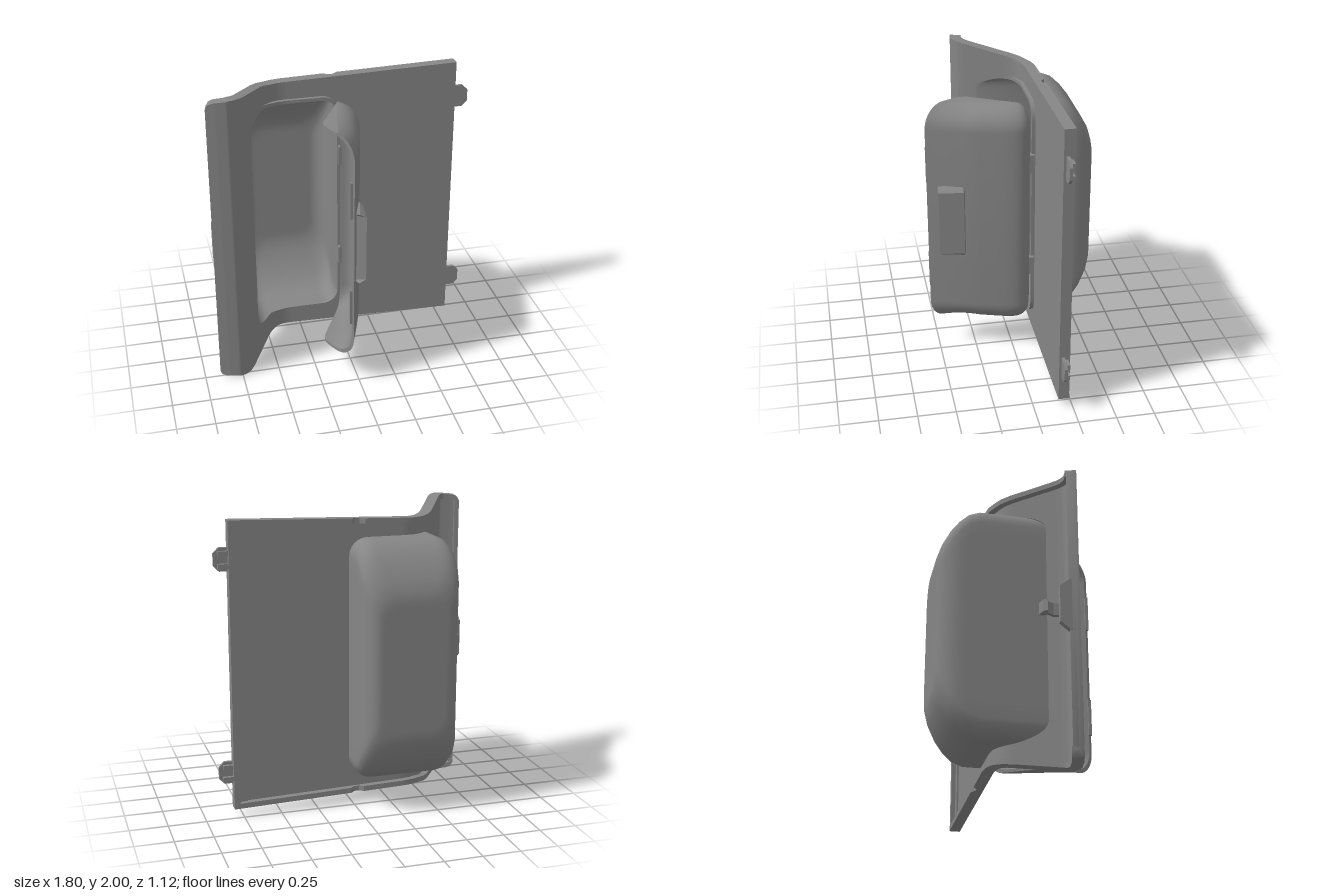
import * as THREE from 'three';
import { toCreasedNormals } from 'three/addons/utils/BufferGeometryUtils.js';

const V = (x, y, z) => new THREE.Vector3(x, y, z);
const { lerp, clamp } = THREE.MathUtils;
const material = new THREE.MeshStandardMaterial({ color: 0x868686, side: THREE.DoubleSide });

// Piecewise linear lookup in [x, value] pairs
function sample(table, x) {
  let i = 1;
  while (i < table.length - 1 && x > table[i][0]) i++;
  const [x0, v0] = table[i - 1], [x1, v1] = table[i];
  return lerp(v0, v1, clamp((x - x0) / (x1 - x0), 0, 1));
}

// Skin through closed cross-sections, with both ends capped
function loft(sections, crease = 0.6) {
  const n = sections[0].length, idx = [];
  const pos = sections.flat().flatMap(p => [p.x, p.y, p.z]);
  for (let i = 0; i < sections.length - 1; i++) {
    for (let j = 0; j < n; j++) {
      const a = i * n + j, b = i * n + (j + 1) % n;
      idx.push(a, b, b + n, a, b + n, a + n);
    }
  }
  const last = (sections.length - 1) * n;
  for (let j = 1; j < n - 1; j++) idx.push(0, j + 1, j, last, last + j, last + j + 1);
  const g = new THREE.BufferGeometry();
  g.setAttribute('position', new THREE.Float32BufferAttribute(pos, 3));
  g.setIndex(idx);
  return toCreasedNormals(g, crease);
}

// Bent panel: front face depth and upper edge along x
const FRONT = [[-0.9, 0.262], [-0.84, 0.275], [-0.77, 0.283], [-0.73, 0.272], [-0.69, 0.245], [-0.66, 0.205],
  [-0.51, -0.06], [-0.48, -0.1], [-0.44, -0.13], [-0.4, -0.148], [-0.35, -0.155], [0.81, -0.16]];
const TOP = [[-0.9, 1.95], [-0.89, 1.975], [-0.86, 1.99], [-0.75, 2], [-0.7, 1.998], [-0.66, 1.988],
  [-0.48, 1.925], [-0.44, 1.915], [-0.38, 1.913], [0.81, 1.947]];
const front = x => sample(FRONT, x);
const topY = x => sample(TOP, x);
const bottomY = x => 2 - topY(x);

// Strip of the panel between two heights, following the bend
function strip(xs, lo, hi, thick) {
  return loft(xs.map(x => {
    const x0 = Math.max(x - 0.02, -0.9), x1 = Math.min(x + 0.02, 0.81);
    const m = (front(x1) - front(x0)) / (x1 - x0), t = thick(x) / Math.hypot(1, m);
    const z = front(x), bx = x + m * t, bz = z - t;
    return [V(bx, lo(x), bz), V(bx, hi(x), bz), V(x, hi(x), z), V(x, lo(x), z)];
  }));
}

// Opening in the panel
const HOLE = [-0.62, 0.01], R = 0.12;
function holeHalf(x) {
  const d = clamp(Math.min(x - HOLE[0], HOLE[1] - x), 0, R);
  return 0.785 - R + Math.sqrt(R * R - (R - d) ** 2);
}

// Rounded rectangle ring with subdivided edges, counter-clockwise
function ring(x0, x1, half, r, depth) {
  const pts = [];
  const corners = [[x1 - r, 1 + half - r], [x0 + r, 1 + half - r], [x0 + r, 1 - half + r], [x1 - r, 1 - half + r]];
  corners.forEach(([cx, cy], c) => {
    for (let j = 0; j <= 6; j++) {
      const a = (c + j / 6) * Math.PI / 2;
      pts.push([cx + r * Math.cos(a), cy + r * Math.sin(a)]);
    }
    const s = pts[pts.length - 1], a = (c + 1) * Math.PI / 2, [nx, ny] = corners[(c + 1) % 4];
    const e = [nx + r * Math.cos(a), ny + r * Math.sin(a)];
    for (let j = 1; j < 14; j++) pts.push([lerp(s[0], e[0], j / 14), lerp(s[1], e[1], j / 14)]);
  });
  return pts.map(([x, y]) => V(x, y, depth(x)));
}

// Tub: outer wall from back to mouth, then inner wall down to the floor
function tubGeometry() {
  const steps = [[-0.56, 0.115, 0.39], [-0.56, 0.1, 0.36], [-0.555, 0.075, 0.31], [-0.53, 0.04, 0.24],
    [-0.48, 0.012, 0.15], [-0.43, 0, 0.085], [-0.37, 0, 0.027], [-0.3, 0, 0], [-0.27, 0, 0]];
  const wall = (z, ix, iy, t) => ring(-0.63 + ix + t, 0.02 - ix - t, 0.795 - iy - t, 0.12 - t, () => z + t);
  const lip = x => front(x) + 0.025 * clamp((x + 0.5) / 0.08, 0, 1);
  const mouth = t => ring(-0.63 + t, 0.02 - t, 0.795 - t, 0.12 - t, lip);
  return loft([
    ...steps.map(s => wall(...s, 0)), mouth(0), mouth(0.022),
    ...steps.slice().reverse().map(s => wall(...s, 0.022)),
  ], 0.7);
}

// Door: domed shell whose rim follows the panel bend
function doorGeometry() {
  const curve = pts => new THREE.CatmullRomCurve3(pts.map(([x, z]) => V(x, 0, z)), false, 'centripetal');
  const rim = curve([[0.02, -0.12], [-0.16, 0.22], [-0.18, 0.26], [-0.18, 0.32], [-0.06, 0.555]]);
  const outer = curve([[0.02, -0.12], [0.085, -0.1], [0.115, -0.04], [0.07, 0.2], [0.02, 0.36], [-0.05, 0.555]]);
  const N = 28, r = 0.16, rows = [];
  for (let k = 0; k <= 10; k++) rows.push((1 - k / 10) * Math.PI / 2);
  const side = (ang, sign, inset, shrink) => {
    const c = Math.cos(ang), h = c ** 0.8, pts = [];
    const y = 1 + sign * (0.795 - r + r * Math.sin(ang)) * (1 - inset);
    for (let j = 0; j <= N; j++) {
      const w = j / N, base = rim.getPointAt(lerp(0.12 * (1 - c) + inset, 1 - 0.19 * (1 - c) - inset, w));
      const rise = outer.getPointAt(w).sub(rim.getPointAt(w)).multiplyScalar(h * shrink);
      pts.push(base.add(rise).setY(y));
    }
    return pts;
  };
  const section = (ang, sign, closed) => [
    ...side(ang, sign, 0, 1).reverse(),
    ...(closed ? side(ang, sign, 0, 1) : side(ang, sign, 0.025, 0.9)),
  ];
  return loft([
    section(Math.PI / 2, -1, true), ...rows.map(a => section(a, -1)),
    ...rows.slice().reverse().map(a => section(a, 1)), section(Math.PI / 2, 1, true),
  ], 0.8);
}

export function createModel() {
  const model = new THREE.Group();
  model.name = 'panelWithTubAndDoor';
  const add = (name, geometry, parent = model) => {
    const mesh = new THREE.Mesh(geometry, material);
    mesh.name = name;
    parent.add(mesh);
    return mesh;
  };
  const box = (name, w, h, d, x, y, z, parent) =>
    add(name, new THREE.BoxGeometry(w, h, d), parent).position.set(x, y, z);

  // Panel skin around the opening
  const range = (a, b, n) => Array.from({ length: n + 1 }, (_, i) => lerp(a, b, i / n));
  const holeXs = range(0, Math.PI, 48).map(a => lerp(...HOLE, (1 - Math.cos(a)) / 2));
  const skin = () => 0.03;
  add('panelLeftPart', strip(range(-0.9, HOLE[0], 28), bottomY, topY, skin));
  add('panelRightPart', strip(range(HOLE[1], 0.81, 6), bottomY, topY, skin));
  add('panelAboveOpening', strip(holeXs, x => 1 + holeHalf(x), topY, skin));
  add('panelBelowOpening', strip(holeXs, bottomY, x => 1 - holeHalf(x), skin));

  // Raised rim round the back, with a small notch above and below
  const rimXs = range(-0.9, 0.81, 114);
  const rimDepth = x => 0.072 - 0.025 * clamp(1.6 - Math.abs(x + 0.03) / 0.028, 0, 1);
  add('topRim', strip(rimXs, x => topY(x) - 0.035, topY, rimDepth));
  add('bottomRim', strip(rimXs, bottomY, x => bottomY(x) + 0.035, rimDepth));
  add('outerSideRim', strip([-0.9, -0.885, -0.87], bottomY, topY, () => 0.065));
  add('straightSideRim', strip([0.77, 0.81], bottomY, topY, () => 0.07));
  add('straightSideLedge', strip([0.715, 0.77], bottomY, topY, () => 0.042));

  add('tub', tubGeometry());

  // Open door with its pull and edge tabs
  const door = new THREE.Group();
  door.name = 'door';
  model.add(door);
  add('doorShell', doorGeometry(), door);
  add('doorPull', loft([[0.75, 0], [0.775, 1], [1.225, 1], [1.25, 0]].map(([y, k]) => [
    V(0.02, y, 0.31), V(-0.02, y, 0.44), V(lerp(0.0, 0.045, k), y, 0.49), V(lerp(0.04, 0.065, k), y, 0.325),
  ]), 0.3), door);

  for (const s of [-1, 1]) {
    // Door hinges and catches
    box('doorHinge', 0.045, 0.13, 0.05, 0.022, 1 + s * 0.38, -0.125);
    box('doorEdgeTab', 0.016, 0.25, 0.02, -0.068, 1 + s * 0.385, 0.545, door);
    box('openingCatch', 0.004, 0.25, 0.02, -0.607, 1 + s * 0.385, 0.09);

    // Mounting tabs on the straight edge
    const tab = new THREE.Shape([[0.79, -0.075], [0.865, -0.075], [0.9, -0.04], [0.9, 0.04], [0.865, 0.075], [0.79, 0.075]]
      .map(p => new THREE.Vector2(...p)));
    const plate = add('mountingTab', new THREE.ExtrudeGeometry(tab, { depth: 0.02, bevelEnabled: false }));
    plate.position.set(0, 1 + s * 0.7, -0.195);
    for (const e of [-1, 1]) box('tabRib', 0.07, 0.03, 0.025, 0.84, 1 + s * 0.7 + e * 0.04, -0.205);
  }

  // Spring latch behind the bent edge
  add('latchClip', (() => {
    const outline = [[-0.86, 0.07], [-0.84, 0.045], [-0.79, 0.033], [-0.78, 0.055], [-0.8, 0.085], [-0.778, 0.12],
      [-0.785, 0.17], [-0.735, 0.215], [-0.735, 0.235], [-0.83, 0.235], [-0.83, 0.21], [-0.81, 0.17], [-0.805, 0.12], [-0.825, 0.08]];
    const shape = new THREE.Shape(outline.map(([x, z]) => new THREE.Vector2(x, -z)));
    return new THREE.ExtrudeGeometry(shape, { depth: 0.08, bevelEnabled: false }).rotateX(-Math.PI / 2);
  })()).position.y = 0.96;
  add('latchGuard', loft([[0.83, 0.2], [0.88, 0.14], [1.12, 0.14], [1.17, 0.2]].map(([y, z]) => [
    V(-0.892, y, 0.215), V(-0.855, y, 0.215), V(-0.855, y, z), V(-0.892, y, z),
  ]), 0.3));
  return model;
}
